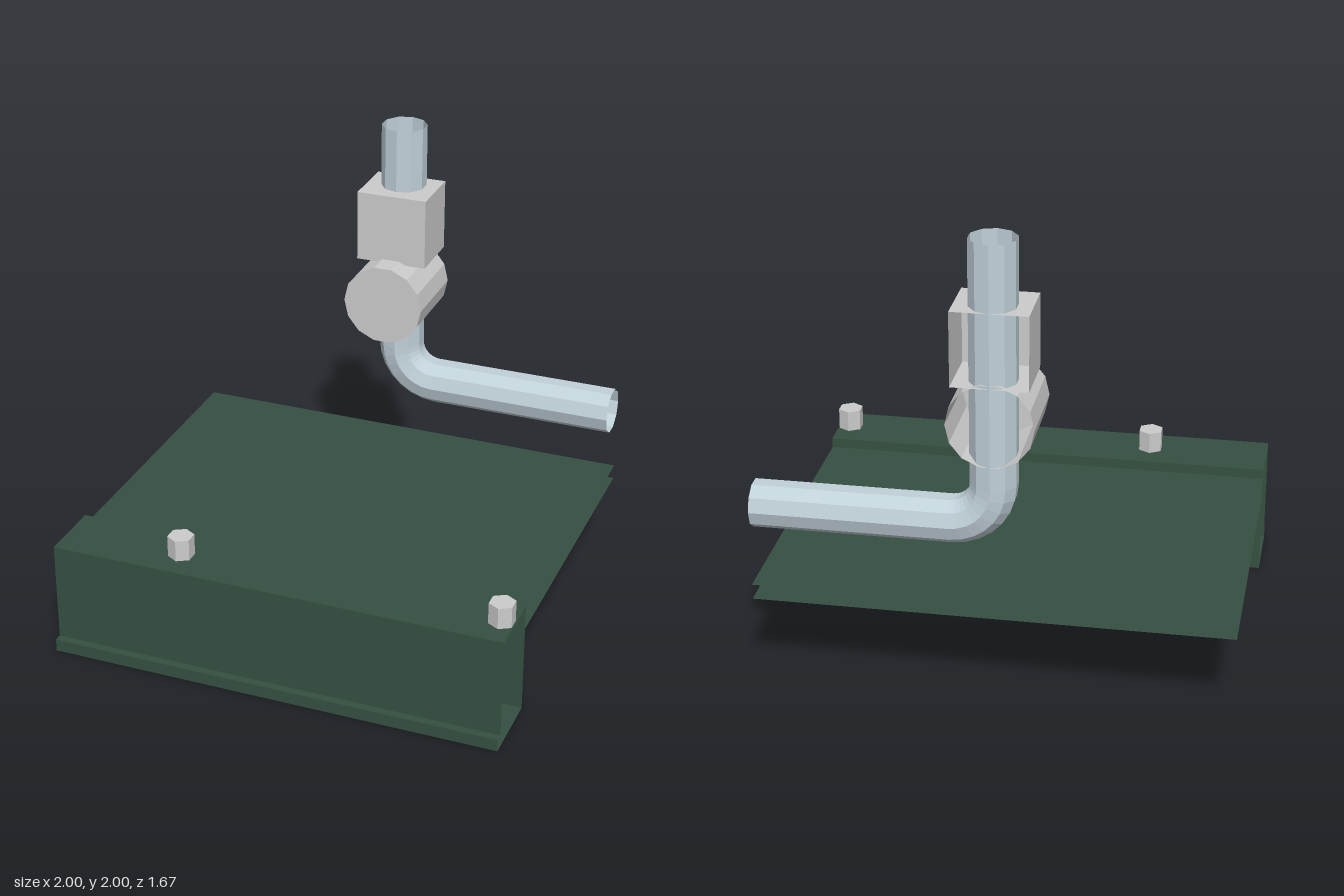
import * as THREE from 'three';

const material = (color) =>
  new THREE.MeshStandardMaterial({ color, flatShading: true, side: THREE.DoubleSide });
const green = material(0x365041);
const steel = material(0xc0d0d8);
const grey = material(0xcccccc);

const PIPE_Z = -0.74;
const BACK = -0.84;

function part(name, geometry, mat) {
  const mesh = new THREE.Mesh(geometry, mat);
  mesh.name = name;
  return mesh;
}

// Thin open-ended sheet: a [z, y] outline carried across the full width in x
function sheet(outline) {
  const pos = [];
  const index = [];
  for (let i = 0; i < outline.length - 1; i++) {
    const [z0, y0] = outline[i];
    const [z1, y1] = outline[i + 1];
    const b = i * 4;
    pos.push(-1, y0, z0, 1, y0, z0, 1, y1, z1, -1, y1, z1);
    index.push(b, b + 1, b + 2, b, b + 2, b + 3);
  }
  const geo = new THREE.BufferGeometry();
  geo.setAttribute('position', new THREE.Float32BufferAttribute(pos, 3));
  geo.setIndex(index);
  geo.computeVertexNormals();
  return geo;
}

// Ten-sided pipe: comes down, bends a quarter turn and runs out to the left
function pipeGeometry() {
  const radius = 0.1, bend = 0.175, cx = 0.175, cy = 0.96, steps = 7;
  const stations = [{ x: 0, y: 2, a: 0 }];
  for (let i = 0; i <= steps; i++) {
    const a = (i / steps) * Math.PI / 2;
    stations.push({ x: cx - bend * Math.cos(a), y: cy - bend * Math.sin(a), a });
  }
  stations.push({ x: 1, y: cy - bend, a: Math.PI / 2 });

  const sides = 10;
  const geo = new THREE.CylinderGeometry(radius, radius, 1, sides, stations.length - 1, true);
  const p = geo.attributes.position;
  for (let i = 0; i < p.count; i++) {
    const s = stations[Math.floor(i / (sides + 1))];
    const across = p.getX(i);
    p.setXYZ(i, s.x + across * Math.cos(s.a), s.y + across * Math.sin(s.a), p.getZ(i) + PIPE_Z);
  }
  geo.computeVertexNormals();
  return geo;
}

export function createModel() {
  const model = new THREE.Group();
  model.name = 'pipeAndRail';

  // Hollow front rail with a small ledge along its foot
  model.add(part('frontRail', sheet([
    [0.8, 0.5], [0.51, 0.5], [0.51, 0], [0.835, 0],
    [0.835, 0.055], [0.8, 0.055], [0.8, 0.5],
  ]), green));

  // Two thin deck plates behind the rail
  model.add(part('upperDeck', sheet([[0.51, 0.455], [BACK, 0.455]]), green));
  model.add(part('lowerDeck', sheet([[0.51, 0.39], [BACK, 0.39]]), green));

  // Hexagonal bolt heads, open below
  for (const x of [-0.47, 0.945]) {
    const bolt = new THREE.Group();
    bolt.name = 'bolt';
    const side = part('boltSides', new THREE.CylinderGeometry(0.057, 0.057, 0.1, 6, 1, true), grey);
    const top = part('boltTop', new THREE.CircleGeometry(0.057, 6, Math.PI / 2), grey);
    top.rotation.x = -Math.PI / 2;
    top.position.y = 0.05;
    bolt.add(side, top);
    bolt.position.set(x, 0.545, 0.658);
    model.add(bolt);
  }

  model.add(part('pipe', pipeGeometry(), steel));

  // Valve box, open at the back: the back face is dropped from the box
  const depth = 0.26;
  const box = new THREE.BoxGeometry(0.316, 0.316, depth);
  box.setIndex(Array.from(box.index.array).slice(0, 30));
  box.clearGroups();
  const valveBox = part('valveBox', box, grey);
  valveBox.position.set(0, 1.563, BACK + depth / 2);
  model.add(valveBox);

  // Round valve housing, closed at the front and open at the back
  const housing = new THREE.LatheGeometry(
    [[0.18, 0], [0.18, 0.36], [0, 0.36]].map(([r, h]) => new THREE.Vector2(r, h)),
    14, Math.PI / 2);
  housing.rotateX(Math.PI / 2);
  const valve = part('valveHousing', housing, grey);
  valve.position.set(0, 1.244, BACK);
  model.add(valve);

  return model;
}
